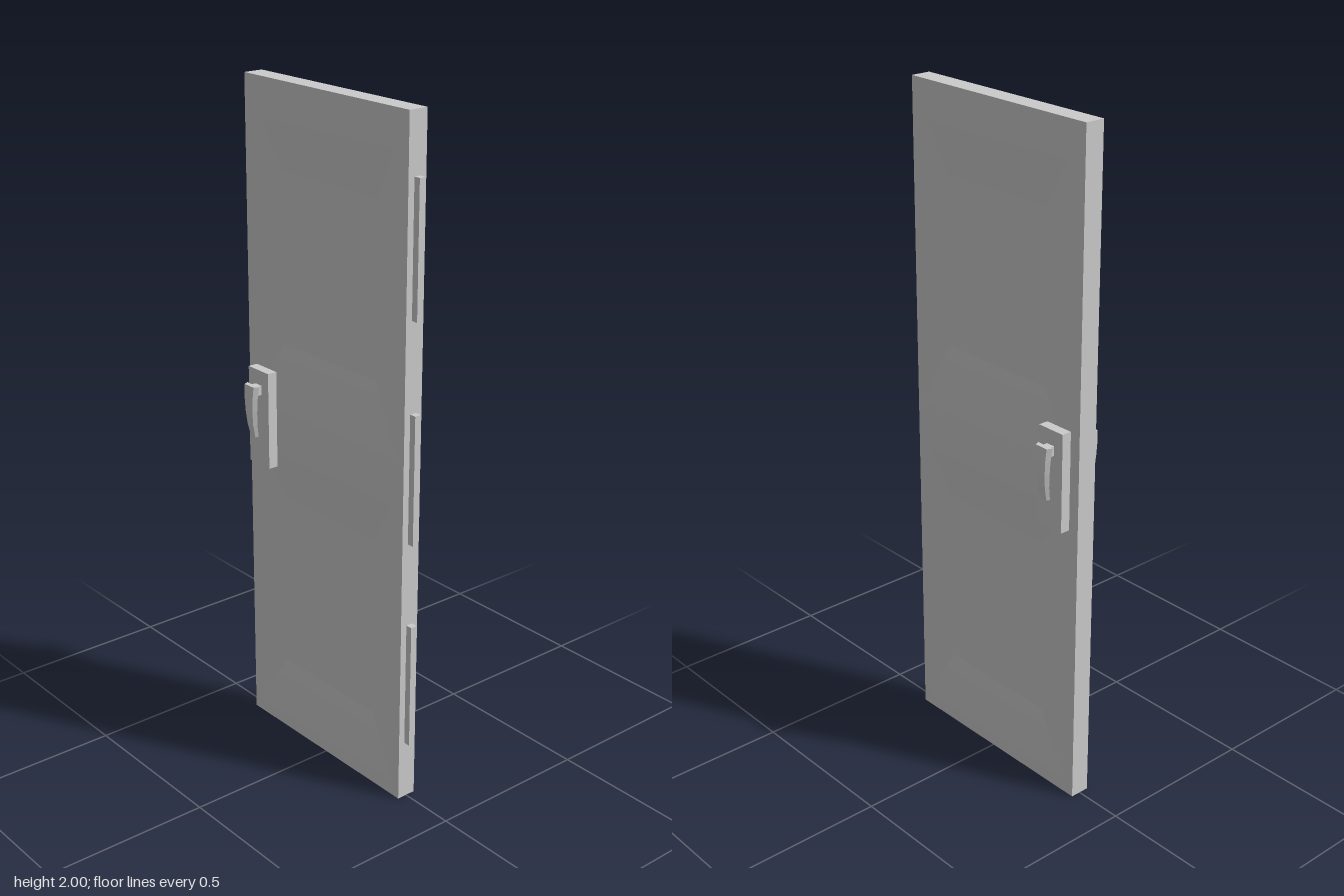
import * as THREE from 'three';

const material = new THREE.MeshStandardMaterial({ color: 0xcccccc });
const flat = new THREE.MeshStandardMaterial({ color: 0xcccccc, flatShading: true });
const HALF = 0.03, LEFT = -0.35, RIGHT = 0.33, HEIGHT = 2, DEPTH = 0.012;

function addMesh(parent, name, geometry, mat = material) {
  const mesh = new THREE.Mesh(geometry, mat);
  mesh.name = name;
  parent.add(mesh);
  return mesh;
}

function addBox(parent, name, w, h, d, x, y, z) {
  addMesh(parent, name, new THREE.BoxGeometry(w, h, d)).position.set(x, y, z);
}

// Joins rows of points (each row the same length) into a surface
function loft(rows) {
  const n = rows[0].length, index = [];
  for (let r = 0; r < rows.length - 1; r++) {
    for (let i = 0; i < n - 1; i++) {
      const a = r * n + i, b = a + 1, c = a + n, d = c + 1;
      index.push(a, b, d, a, d, c);
    }
  }
  const geometry = new THREE.BufferGeometry();
  geometry.setAttribute('position', new THREE.Float32BufferAttribute(rows.flat(2), 3));
  geometry.setIndex(index);
  geometry.computeVertexNormals();
  return geometry;
}

// Corners of a rectangle, counter-clockwise seen from +z
const corners = (x0, x1, y0, y1) => [[x0, y0], [x1, y0], [x1, y1], [x0, y1]];

// One sunken panel: four curved slopes running in to a flat field
function addPanel(parent, x0, x1, y0, y1, fieldY0, fieldY1) {
  const outer = corners(x0, x1, y0, y1);
  const inner = corners(-0.2, 0.2, fieldY0, fieldY1);
  const steps = 8;
  for (let s = 0; s < 4; s++) {
    const rows = [];
    for (let k = 0; k <= steps; k++) {
      const t = k / steps;
      rows.push([s, (s + 1) % 4].map((c) => [
        THREE.MathUtils.lerp(outer[c][0], inner[c][0], t),
        THREE.MathUtils.lerp(outer[c][1], inner[c][1], t),
        HALF - DEPTH * t * t,
      ]));
    }
    addMesh(parent, 'panelSlope', loft(rows));
  }
  const field = new THREE.PlaneGeometry(0.4, fieldY1 - fieldY0);
  addMesh(parent, 'panelField', field).position.set(0, (fieldY0 + fieldY1) / 2, HALF - DEPTH);
}

function makeFace(name, x0, x1) {
  const face = new THREE.Group();
  face.name = name;
  addPanel(face, x0, x1, 0, 1, 0.225, 0.775);
  addPanel(face, x0, x1, 1, 2, 1.25, 1.75);
  return face;
}

// Curved lever, tapering downwards, with a trapezoid cross-section
function leverGeometry() {
  // y, front z, half width, thickness
  const sections = [
    [1.12, 0.094, 0.028, 0.015],
    [1.08, 0.097, 0.025, 0.014],
    [1.04, 0.096, 0.022, 0.013],
    [1.0, 0.092, 0.018, 0.012],
    [0.96, 0.083, 0.014, 0.01],
  ];
  const rows = sections.map(([y, z, w, t]) => {
    const f = w * 0.75;
    const ring = [[-w, y, z - t], [-f, y, z], [f, y, z], [w, y, z - t]];
    return [...ring, ring[0]];
  });
  // Close both ends by collapsing a ring to its middle
  const cap = ([y, z, , t]) => Array.from({ length: 5 }, () => [0, y, z - t / 2]);
  rows.unshift(cap(sections[0]));
  rows.push(cap(sections[sections.length - 1]));
  return loft(rows.reverse());
}

function makeHandle(name) {
  const handle = new THREE.Group();
  handle.name = name;
  addBox(handle, 'backplate', 0.092, 0.295, 0.03, 0, 1.013, 0.045);
  addBox(handle, 'neck', 0.028, 0.028, 0.03, 0, 1.102, 0.073);
  addMesh(handle, 'lever', leverGeometry(), flat);
  handle.position.x = -0.27;
  return handle;
}

export function createModel() {
  const door = new THREE.Group();
  door.name = 'door';

  // Rim of the slab
  const rim = corners(LEFT, RIGHT, 0, HEIGHT);
  for (let s = 0; s < 4; s++) {
    const ends = [rim[s], rim[(s + 1) % 4]];
    addMesh(door, 'slabEdge', loft([-HALF, HALF].map((z) => ends.map(([x, y]) => [x, y, z]))));
  }

  // Panelled faces and handles on both sides
  const back = makeFace('backFace', -RIGHT, -LEFT);
  back.rotation.y = Math.PI;
  const backHandle = makeHandle('backHandle');
  backHandle.rotation.y = Math.PI;
  door.add(makeFace('frontFace', LEFT, RIGHT), back, makeHandle('frontHandle'), backHandle);

  // Hinges along the far edge
  for (const y of [0.37, 1.0, 1.64]) addBox(door, 'hinge', 0.02, 0.38, 0.02, 0.34, y, 0);

  return door;
}
